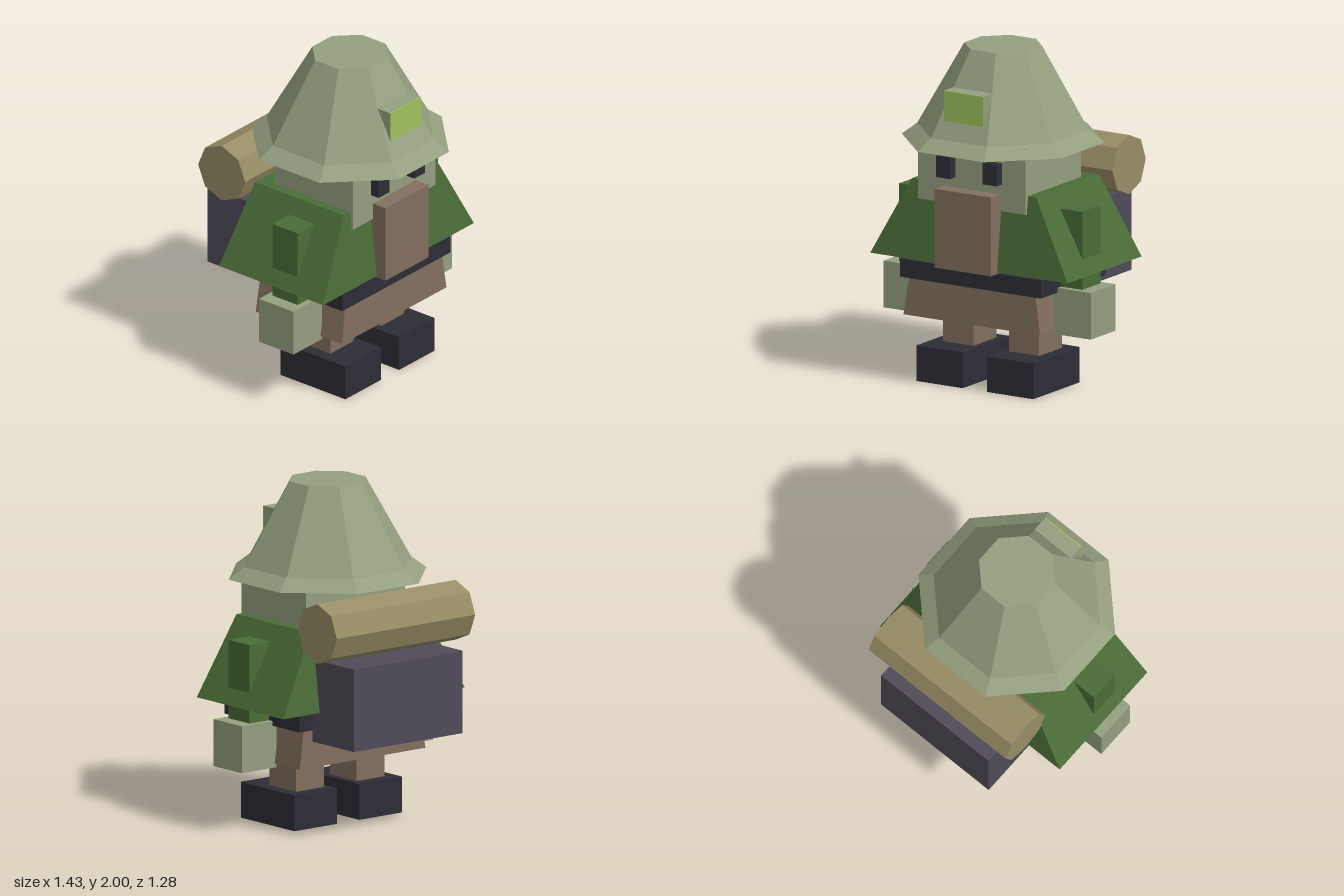
import * as THREE from 'three';

const mat = (name, color) => {
  const m = new THREE.MeshStandardMaterial({ color, flatShading: true });
  m.name = name;
  return m;
};

export function createModel() {
  const model = new THREE.Group();
  model.name = 'backpacker';

  const sage = mat('sage', 0x949f7f);
  const lime = mat('lime', 0xa0c25c);
  const green = mat('coatGreen', 0x4a6c37);
  const brown = mat('brown', 0x826f5e);
  const black = mat('bootBlack', 0x2d2d36);
  const purple = mat('packPurple', 0x504b58);
  const tan = mat('tan', 0x978d65);
  const openBlack = mat('openBoot', 0x2d2d36);
  openBlack.side = THREE.DoubleSide;

  const add = (name, geometry, material) => {
    const mesh = new THREE.Mesh(geometry, material);
    mesh.name = name;
    model.add(mesh);
    return mesh;
  };

  // Box given by its ranges on x, y and z
  const boxGeo = ([x0, x1], [y0, y1], [z0, z1]) =>
    new THREE.BoxGeometry(x1 - x0, y1 - y0, z1 - z0)
      .translate((x0 + x1) / 2, (y0 + y1) / 2, (z0 + z1) / 2);
  const box = (name, x, y, z, material) => add(name, boxGeo(x, y, z), material);

  // Box with separate half width and depth range at bottom and top
  const taper = (name, [y0, y1], bottom, top, material) => {
    const g = new THREE.BoxGeometry(2, 1, 1);
    const p = g.attributes.position;
    for (let i = 0; i < p.count; i++) {
      const up = p.getY(i) > 0;
      const [w, zb, zf] = up ? top : bottom;
      p.setXYZ(i, p.getX(i) * w, up ? y1 : y0, p.getZ(i) > 0 ? zf : zb);
    }
    g.computeVertexNormals();
    return add(name, g, material);
  };

  // Octagonal frustum with flat sides facing the axes, sized by apothem
  const octagon = (name, top, bottom, y0, y1, z, open) => {
    const k = 1 / Math.cos(Math.PI / 8);
    const g = new THREE.CylinderGeometry(top * k, bottom * k, y1 - y0, 8, 1, open, Math.PI / 8);
    return add(name, g.translate(0, (y0 + y1) / 2, z), sage);
  };

  // Hat
  octagon('hatCrown', 0.212, 0.467, 1.51, 2, 0.088, false);
  octagon('hatBrim', 0.467, 0.552, 1.44, 1.51, 0.088, false);
  box('hatBadge', [-0.137, 0.137], [1.61, 1.79], [0.4, 0.5], sage);
  box('badgeFace', [-0.137, 0.137], [1.61, 1.79], [0.5, 0.506], lime);

  // Head and beard
  box('head', [-0.373, 0.373], [1.1, 1.49], [-0.165, 0.42], sage);
  box('beard', [-0.195, 0.195], [0.73, 1.2], [0.36, 0.516], brown);

  // Coat, belt and tunic
  taper('cape', [0.74, 1.207], [0.682, -0.333, 0.451], [0.43, -0.27, 0.395], green);
  taper('tunic', [0.395, 0.745], [0.472, -0.23, 0.42], [0.418, -0.22, 0.41], brown);
  box('belt', [-0.488, 0.488], [0.62, 0.727], [-0.246, 0.435], black);

  // Mirrored parts
  for (const s of [-1, 1]) {
    const side = s > 0 ? 'left' : 'right';
    const span = (a, b) => (s > 0 ? [a, b] : [-b, -a]);
    box(side + 'Eye', span(0.112, 0.21), [1.26, 1.387], [0.4, 0.477], black);
    box(side + 'Sleeve', span(0.45, 0.634), [0.64, 1.112], [0.03, 0.22], green);
    box(side + 'Hand', span(0.457, 0.717), [0.37, 0.648], [-0.002, 0.257], sage);
    box(side + 'Leg', span(0.122, 0.332), [0.19, 0.41], [-0.028, 0.215], brown);

    // Boot, hollow from below
    const boot = boxGeo(span(0.083, 0.404), [0, 0.212], [-0.1, 0.387]);
    const index = Array.from(boot.index.array);
    index.splice(18, 6);
    boot.setIndex(index);
    boot.clearGroups();
    add(side + 'Boot', boot, openBlack);
  }

  // Backpack with bedroll
  box('backpack', [-0.408, 0.408], [0.56, 1.048], [-0.645, -0.27], purple);
  add('bedroll', new THREE.CylinderGeometry(0.177, 0.177, 1.04, 8)
    .rotateZ(Math.PI / 2).translate(0, 1.242, -0.447), tan);

  return model;
}
